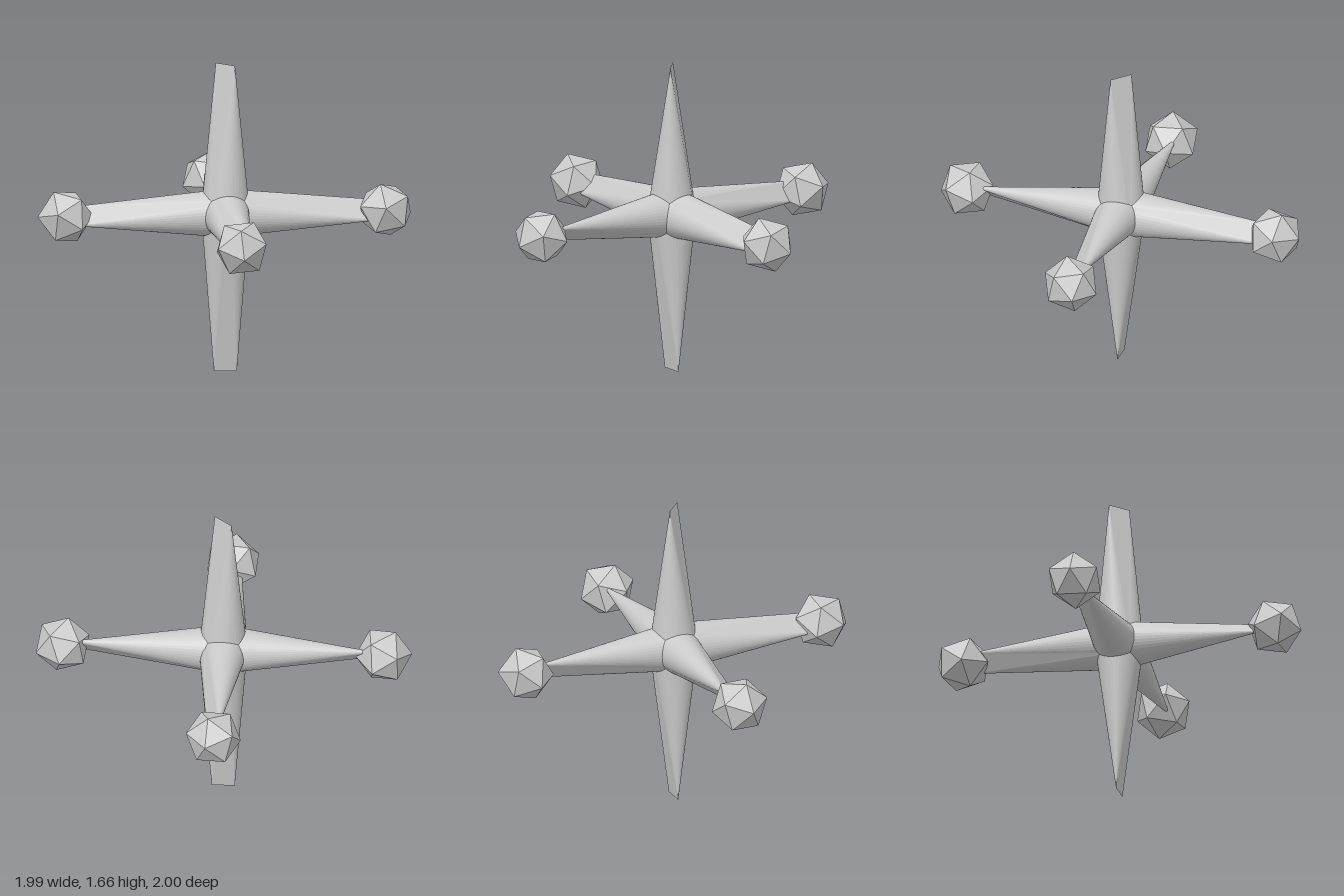
import * as THREE from 'three';

const material = new THREE.MeshStandardMaterial({ color: 0xcccccc, flatShading: true, side: THREE.DoubleSide });
const CENTRE = new THREE.Vector3(-0.006, 0.855, -0.003);
const ROOT_RADIUS = 0.129;
const vec = (a) => new THREE.Vector3(...a);

// Orthonormal frame with z along a and y as close as possible to b
function frame(a, b) {
  const z = a.clone().normalize();
  const x = b.clone().cross(z).normalize();
  return new THREE.Matrix4().makeBasis(x, z.clone().cross(x), z);
}

// Arm: a round root that pinches to a straight chisel edge at its tip
function makeArm(name, dir, length, halfEdge) {
  const geometry = new THREE.CylinderGeometry(ROOT_RADIUS, ROOT_RADIUS, length, 40, 1, true);
  geometry.translate(0, length / 2, 0);
  geometry.rotateX(Math.PI / 2);
  const edge = vec(halfEdge);
  const half = edge.length();
  const pos = geometry.attributes.position;
  // every tip vertex slides to the nearer end of the edge (which runs along local y)
  for (let i = 0; i < pos.count; i++) {
    if (pos.getZ(i) > length / 2) {
      const angle = ((i % 41) % 40 + 0.5) / 40 * Math.PI * 2;
      pos.setXY(i, 0, Math.cos(angle) < 0 ? half : -half);
    }
  }
  geometry.applyMatrix4(frame(vec(dir), edge));
  geometry.computeVertexNormals();
  const arm = new THREE.Mesh(geometry, material);
  arm.name = name;
  arm.position.copy(CENTRE);
  return arm;
}

// Ball: icosahedron with one corner pointing along a and a neighbouring corner towards b
function makeBall(name, centre, a, b) {
  const t = (1 + Math.sqrt(5)) / 2;
  const geometry = new THREE.IcosahedronGeometry(0.151, 0);
  const base = frame(new THREE.Vector3(0, 1, t), new THREE.Vector3(0, -1, t));
  geometry.applyMatrix4(frame(vec(a), vec(b)).multiply(base.transpose()));
  const ball = new THREE.Mesh(geometry, material);
  ball.name = name;
  ball.position.set(...centre);
  return ball;
}

export function createModel() {
  const model = new THREE.Group();
  model.name = 'jack';

  // name, direction, length, half of the tip edge
  const arms = [
    ['topArm', [0, 1, 0], 0.805, [0.047, 0, 0.043]],
    ['bottomArm', [0, -1, 0], 0.855, [0.061, 0, 0]],
    ['leftArm', [1, 0, 0], 0.81, [0, 0.046, -0.045]],
    ['rightArm', [-1, 0, 0], 0.81, [0, 0.042, -0.044]],
    ['frontArm', [0, 0, 1], 0.81, [0.047, 0.038, 0]],
    ['backArm', [0, 0, -1], 0.81, [0.03, -0.046, 0]],
  ];
  arms.forEach((arm) => model.add(makeArm(...arm)));

  // name, centre, corner direction, neighbouring corner
  const balls = [
    ['leftBall', [0.844, 0.855, -0.005], [-0.07, 0.24, 0.97], [-0.2, 0.97, 0.1]],
    ['rightBall', [-0.855, 0.855, -0.003], [-0.35, 0.25, 0.9], [-0.4, 0.9, 0]],
    ['frontBall', [-0.004, 0.855, 0.852], [0, -0.25, 0.97], [0.95, 0.35, 0.3]],
    ['backBall', [-0.008, 0.855, -0.86], [0.95, 0.24, -0.2], [0.1, 0.95, -0.3]],
  ];
  balls.forEach((ball) => model.add(makeBall(...ball)));

  return model;
}
